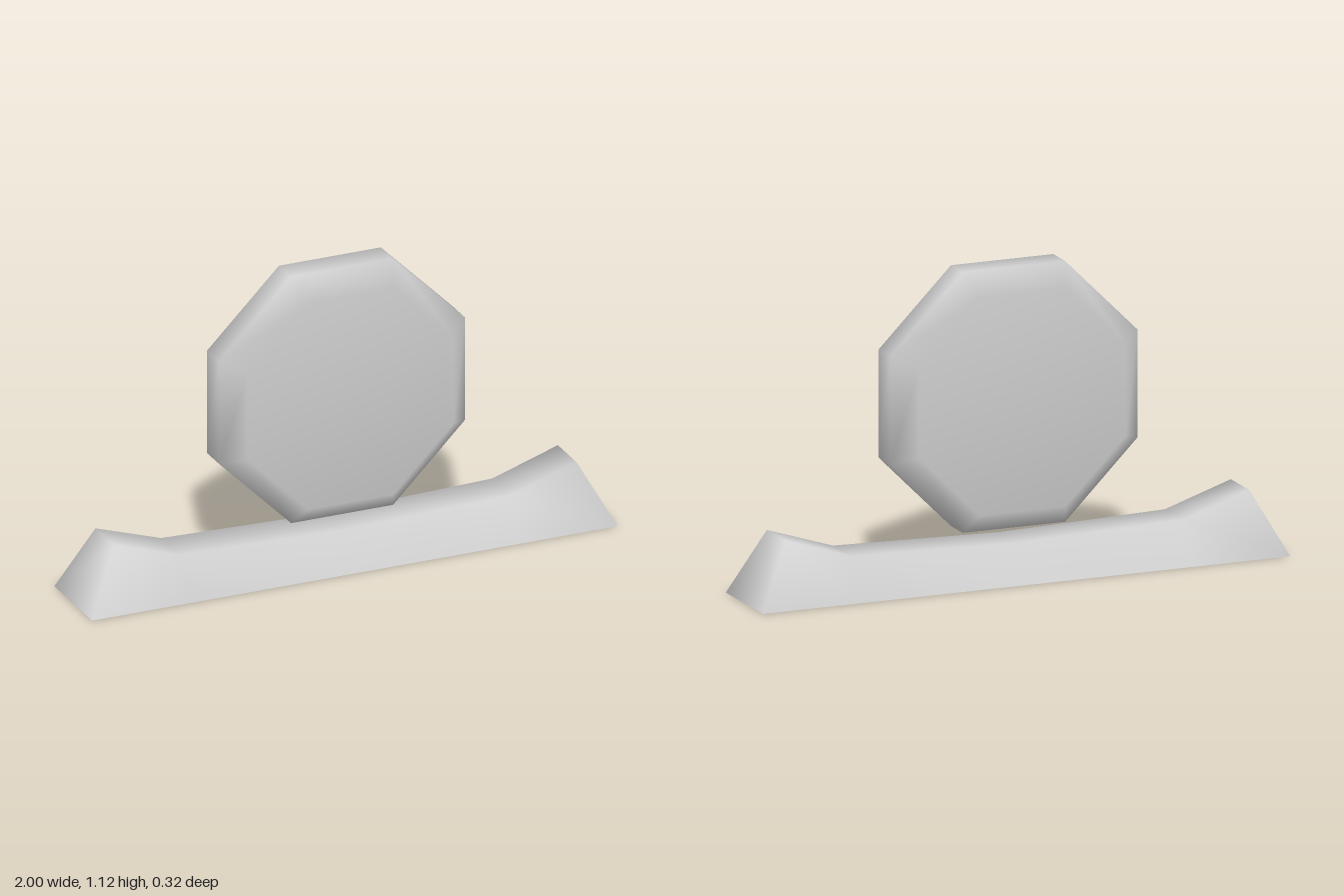
import * as THREE from 'three';

const material = new THREE.MeshStandardMaterial({ color: 0xcccccc, side: THREE.DoubleSide });

// Eight-sided disc with chamfered rims, standing upright and facing z
function createDisc() {
  const profile = [[0, -0.126], [0.425, -0.126], [0.507, -0.052], [0.507, 0.052], [0.425, 0.126], [0, 0.126]]
    .map(([r, h]) => new THREE.Vector2(r, h));
  const geometry = new THREE.LatheGeometry(profile, 8, Math.PI / 8);
  geometry.rotateX(Math.PI / 2);
  const disc = new THREE.Mesh(geometry, material);
  disc.name = 'octagonalDisc';
  disc.position.y = 0.65;
  return disc;
}

// Hollow cradle, open underneath: tapered cross-sections along x with raised ends
function createCradle() {
  // [bottom x, top x, top height]
  const stations = [[-1, -0.88, 0.232], [-0.63, -0.63, 0.15], [0, 0, 0.133], [0.63, 0.63, 0.15], [1, 0.88, 0.232]];
  const positions = [];
  const index = [];
  for (const [bottomX, topX, y] of stations) {
    positions.push(bottomX, 0, -0.162, topX, y, -0.08, topX, y, 0.08, bottomX, 0, 0.162);
  }
  // Back, top and front skins
  for (let i = 0; i < stations.length - 1; i++) {
    for (let j = 0; j < 3; j++) {
      const a = i * 4 + j;
      index.push(a, a + 1, a + 5, a, a + 5, a + 4);
    }
  }
  // Sloping end walls
  const e = (stations.length - 1) * 4;
  index.push(0, 2, 1, 0, 3, 2, e, e + 1, e + 2, e, e + 2, e + 3);

  const geometry = new THREE.BufferGeometry();
  geometry.setAttribute('position', new THREE.Float32BufferAttribute(positions, 3));
  geometry.setIndex(index);
  geometry.computeVertexNormals();
  const cradle = new THREE.Mesh(geometry, material);
  cradle.name = 'cradleBase';
  return cradle;
}

export function createModel() {
  const model = new THREE.Group();
  model.name = 'discOnCradle';
  model.add(createCradle(), createDisc());
  return model;
}
